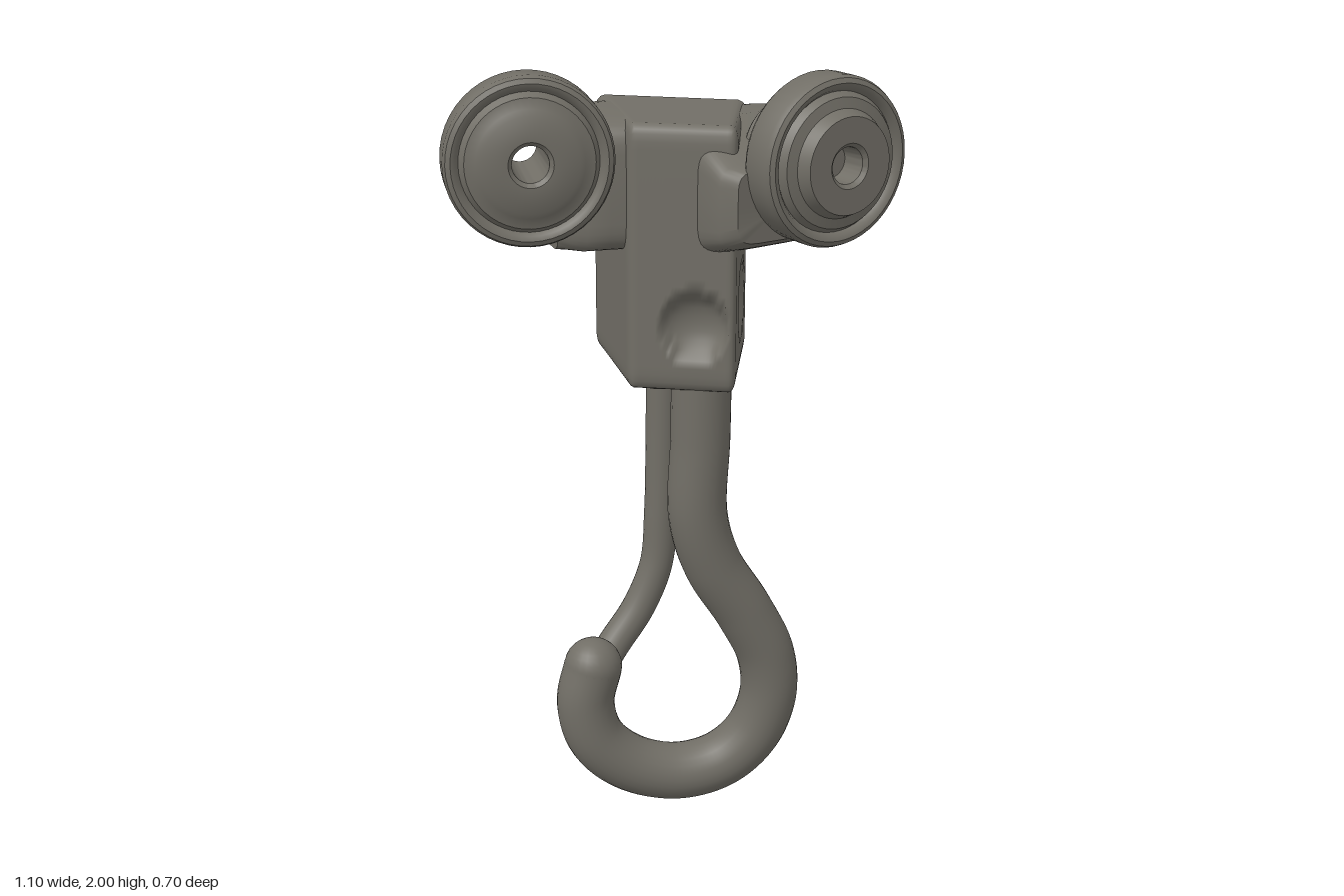
import * as THREE from 'three';
import { mergeVertices, toCreasedNormals } from 'three/addons/utils/BufferGeometryUtils.js';

const metal = new THREE.MeshStandardMaterial({ color: 0x716e66 });
metal.name = 'darkMetal';
const V = (x, y, z) => new THREE.Vector3(x, y, z);

function part(name, geometry, parent) {
  const mesh = new THREE.Mesh(geometry, metal);
  mesh.name = name;
  parent.add(mesh);
  return mesh;
}

// Skewed housing: a rounded grid box mapped to a four-cornered plan, with pressed dents
function housingGeometry() {
  const box = new THREE.BoxGeometry(1, 1, 1, 32, 32, 32);
  box.deleteAttribute('normal');
  box.deleteAttribute('uv');
  const geo = mergeVertices(box);
  const pos = geo.attributes.position;
  const A = V(-0.09, 0, -0.33), B = V(0.275, 0, -0.16), C = V(0.12, 0, 0.185), D = V(-0.115, 0, 0.06);
  const dents = [
    { c: V(0.03, 1.37, 0.137), n: V(-0.46, 0, 0.89), r: 0.085, depth: 0.05 },
    { c: V(0.205, 1.39, -0.005), n: V(0.91, 0, 0.41), r: 0.1, depth: 0.022 },
  ];
  const r = 1 / 16, lim = 0.5 - r, p = V(0, 0, 0), q = V(0, 0, 0);
  for (let i = 0; i < pos.count; i++) {
    p.fromBufferAttribute(pos, i);
    q.copy(p).clampScalar(-lim, lim);
    p.sub(q).setLength(r).add(q);
    const u = p.x + 0.5, v = p.z + 0.5, h = p.y + 0.5;
    const back = A.clone().lerp(B, u), front = D.clone().lerp(C, u);
    const w = back.lerp(front, v);
    w.y = 1.2 + h * 0.67;
    const flare = 0.035 * (1 - v) * (1 - u) * Math.max(0, h - 0.5) * 2;
    w.z -= flare;
    w.x += flare * 0.4;
    for (const d of dents) {
      const k = w.distanceTo(d.c) / d.r;
      if (k < 1) w.addScaledVector(d.n, -d.depth * Math.sqrt(1 - k * k));
    }
    pos.setXYZ(i, w.x, w.y, w.z);
  }
  geo.computeVertexNormals();
  return geo;
}

// Loft of rounded-rectangle sections [x, y, z, halfWidth, halfHeight] facing a heading
function loft(sections, fx, fz) {
  const n = 40, first = sections[0], last = sections[sections.length - 1];
  const shut = s => [s[0], s[1], s[2], 0.001, 0.001];
  const rings = [shut(first), ...sections, shut(last)];
  const verts = [], index = [];
  const sq = c => Math.sign(c) * Math.pow(Math.abs(c), 0.35);
  rings.forEach(([x, y, z, w, h], i) => {
    for (let j = 0; j < n; j++) {
      const t = (j / n) * Math.PI * 2, a = w * sq(Math.cos(t)), b = h * sq(Math.sin(t));
      verts.push(x + a * fz, y + b, z - a * fx);
      if (i < rings.length - 1) {
        const k = (j + 1) % n, p = i * n;
        index.push(p + j, p + k, p + n + k, p + j, p + n + k, p + n + j);
      }
    }
  });
  const geo = new THREE.BufferGeometry();
  geo.setAttribute('position', new THREE.Float32BufferAttribute(verts, 3));
  geo.setIndex(index);
  return toCreasedNormals(geo, 0.9);
}

// Flanged wheel with hub, turned about its own axle; a null holeEnd bores it right through
function wheel(name, x, z, turn, hubFront, holeEnd, parent) {
  const back = -0.17;
  const outer = [
    [0.12, back], [0.13, -0.155], [0.118, -0.1], [0.135, -0.06], [0.185, -0.056], [0.2, -0.05],
    [0.208, -0.036], [0.208, 0.036], [0.202, 0.05], [0.19, 0.056], [0.178, 0.052], [0.17, 0.04],
    [0.158, 0.058], [0.132, 0.064], [0.118, hubFront], [0.055, hubFront], [0.045, hubFront - 0.01],
  ];
  const profile = holeEnd === null
    ? [[0.042, back], ...outer, [0.042, back]]
    : [[0.001, back], ...outer, [0.042, holeEnd], [0.001, holeEnd]];
  const geo = new THREE.LatheGeometry(profile.map(([r, a]) => new THREE.Vector2(r, a)), 48);
  geo.rotateX(Math.PI / 2);
  const mesh = part(name, toCreasedNormals(geo, 0.7), parent);
  mesh.position.set(x, 1.79, z);
  mesh.rotation.y = turn;
}

function rod(name, points, radius, parent) {
  const path = new THREE.CatmullRomCurve3(points.map(p => V(...p)));
  part(name, new THREE.TubeGeometry(path, 100, radius, 24), parent);
}

export function createModel() {
  const model = new THREE.Group();
  model.name = 'trolleyHook';

  part('housing', housingGeometry(), model);

  // Arms reaching from the housing to each wheel
  part('leftArm', loft([
    [0.14, 1.705, -0.13, 0.165, 0.155],
    [0.17, 1.7, -0.09, 0.205, 0.165],
    [0.2, 1.7, 0, 0.19, 0.165],
    [0.205, 1.69, 0.1, 0.175, 0.14],
    [0.212, 1.685, 0.19, 0.16, 0.105],
    [0.225, 1.69, 0.225, 0.135, 0.09],
  ], 0.26, 0.966), model);
  part('rightArm', loft([
    [-0.04, 1.705, -0.14, 0.185, 0.165],
    [-0.15, 1.705, -0.14, 0.175, 0.165],
    [-0.205, 1.7, -0.148, 0.165, 0.163],
    [-0.235, 1.695, -0.135, 0.125, 0.155],
    [-0.268, 1.68, -0.1, 0.07, 0.135],
  ], -1, 0), model);

  // Wheels
  wheel('leftWheel', 0.328, 0.23, 0.26, 0.095, 0.02, model);
  wheel('rightWheel', -0.35, 0.005, -0.14, 0.075, null, model);
  part('axleNub', new THREE.SphereGeometry(0.018, 16, 12), model).position.set(0.402, 1.83, 0.05);

  // Hook with a rounded tip
  rod('hook', [
    [0.077, 1.25, 0.058], [0.075, 1.05, 0.058], [0.07, 0.84, 0.057], [0.11, 0.7, 0.057],
    [0.2, 0.55, 0.06], [0.262, 0.42, 0.062], [0.274, 0.3, 0.06], [0.235, 0.18, 0.047],
    [0.15, 0.1, 0.03], [0.03, 0.076, 0.015], [-0.1, 0.115, 0], [-0.19, 0.2, -0.012],
    [-0.217, 0.31, -0.02], [-0.195, 0.41, -0.02],
  ], 0.077, model);
  part('hookTip', new THREE.SphereGeometry(0.077, 24, 16), model).position.set(-0.195, 0.41, -0.02);

  // Thin latch rod closing the hook, with its collar
  rod('latchRod', [
    [0.025, 1.22, -0.095], [0.023, 1.0, -0.095], [0.018, 0.8, -0.093], [0.005, 0.65, -0.093],
    [-0.045, 0.53, -0.093], [-0.12, 0.435, -0.08], [-0.18, 0.37, -0.05],
  ], 0.044, model);
  part('latchCollar', new THREE.CylinderGeometry(0.066, 0.06, 0.07, 32), model).position.set(0.02, 1.193, -0.097);

  return model;
}
